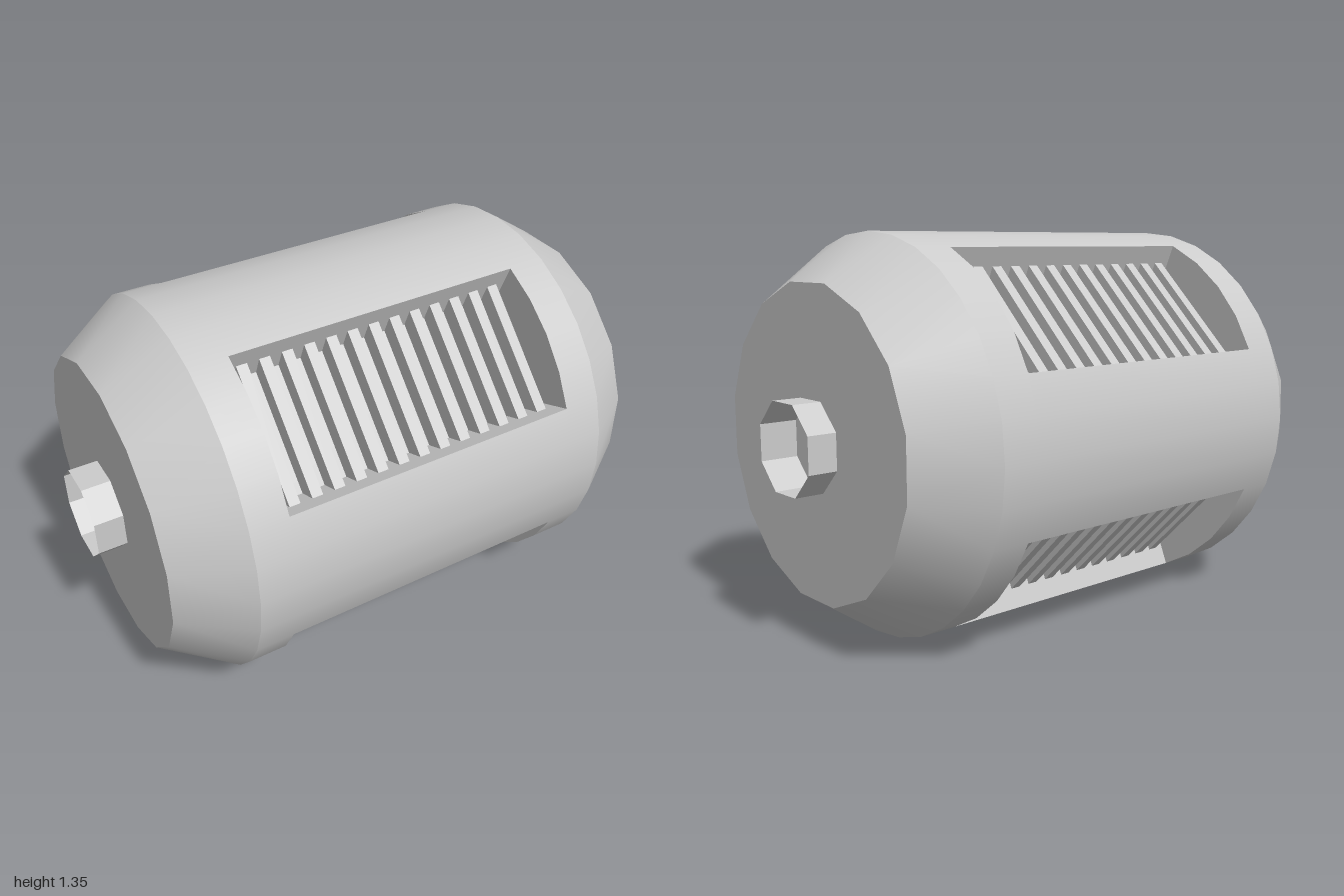
import * as THREE from 'three';

const R = 0.675, HALF = 0.9, SHOULDER = 0.67, WIN = 0.535;
const STEP = Math.PI / 16;
const smooth = new THREE.MeshStandardMaterial({ color: 0xcccccc });
const flat = new THREE.MeshStandardMaterial({ color: 0xcccccc, flatShading: true, side: THREE.DoubleSide });

function add(parent, name, geometry, material) {
  const mesh = new THREE.Mesh(geometry, material);
  mesh.name = name;
  parent.add(mesh);
  return mesh;
}

// Open cylinder wall lying along x, from x0 to x1
function wall(x0, x1, segments, start, length) {
  return new THREE.CylinderGeometry(R, R, x1 - x0, segments, 1, true, start, length)
    .rotateZ(-Math.PI / 2).translate((x0 + x1) / 2, 0, 0);
}

// Sloped shoulder joining the 32-sided shell to the 16-sided end plate
function shoulderGeometry() {
  const pos = [], index = [];
  const put = (x, r, a) => pos.push(x, r * Math.sin(a), r * Math.cos(a));
  for (let k = 0; k < 32; k++) put(SHOULDER, R, k * STEP);
  for (let j = 0; j < 16; j++) put(HALF, 0.525, (2 * j + 1) * STEP);
  for (let j = 0; j < 16; j++) {
    const a = 2 * j, b = a + 1, c = (a + 2) % 32, i = 32 + j, n = 32 + (j + 1) % 16;
    index.push(a, b, i, b, c, i, c, n, i);
  }
  // Wind every triangle so that it faces outward
  const p = k => new THREE.Vector3().fromArray(pos, k * 3);
  for (let t = 0; t < index.length; t += 3) {
    const [a, b, c] = [p(index[t]), p(index[t + 1]), p(index[t + 2])];
    const normal = b.clone().sub(a).cross(c.clone().sub(a));
    if (normal.dot(new THREE.Vector3(0, a.y + b.y + c.y, a.z + b.z + c.z)) < 0) {
      [index[t + 1], index[t + 2]] = [index[t + 2], index[t + 1]];
    }
  }
  const g = new THREE.BufferGeometry();
  g.setAttribute('position', new THREE.Float32BufferAttribute(pos, 3));
  g.setIndex(index);
  g.computeVertexNormals();
  return g;
}

// Point at radius r and angle a from the upright
const polar = (r, a) => new THREE.Vector2(r * Math.sin(a), r * Math.cos(a));
const polygon = (r, n) => Array.from({ length: n }, (_, i) => polar(r, (2 * i + 1) * Math.PI / n));

// Recessed window, 45 degrees wide, with a flat floor, radial sides and slats
function makeWindow() {
  const group = new THREE.Group();
  group.name = 'ventWindow';
  const A = 2 * STEP, floorR = 0.536, slatR = 0.606;

  const profile = [polar(R, -A), polar(floorR, -A), polar(floorR, A), polar(R, A)];
  const at = (q, x) => new THREE.Vector3(x, q.y, -q.x);
  const pts = [];
  for (let i = 0; i < 3; i++) {
    const a = at(profile[i], -WIN), b = at(profile[i + 1], -WIN);
    const c = at(profile[i + 1], WIN), d = at(profile[i], WIN);
    pts.push(a, c, b, a, d, c);
  }
  const trough = new THREE.BufferGeometry().setFromPoints(pts);
  trough.computeVertexNormals();
  add(group, 'windowTrough', trough, flat);

  // End walls: curved outer edge, straight inner edge
  const outline = [polar(floorR, A), polar(floorR, -A)];
  for (let k = -2; k <= 2; k++) outline.push(polar(R, k * STEP));
  const endWall = new THREE.ShapeGeometry(new THREE.Shape(outline)).rotateY(Math.PI / 2);
  for (const s of [-1, 1]) add(group, 'windowEnd', endWall, flat).position.x = s * WIN;

  const slatShape = new THREE.Shape([polar(floorR, -A), polar(floorR, A), polar(slatR, A), polar(slatR, -A)]);
  const slat = new THREE.ExtrudeGeometry(slatShape, { depth: 0.038, bevelEnabled: false })
    .translate(0, 0, -0.019).rotateY(Math.PI / 2);
  for (let i = -6; i <= 6; i++) add(group, 'slat', slat, flat).position.x = i * 0.0803;
  return group;
}

export function createModel() {
  const model = new THREE.Group();
  model.name = 'ventedDrum';
  const drum = new THREE.Group();
  drum.name = 'drum';
  drum.position.y = R;
  model.add(drum);

  // Shell strips between the windows, and the windows themselves
  for (let q = 0; q < 4; q++) {
    const mid = q * Math.PI / 2;
    add(drum, 'shellStrip', wall(-WIN, WIN, 4, mid - 2 * STEP, 4 * STEP), smooth);
    const win = makeWindow();
    win.rotation.x = mid + Math.PI / 4;
    drum.add(win);
  }

  // Both ends: full ring, shoulder, plate and recessed octagonal socket
  const shoulder = shoulderGeometry();
  const socketR = 0.159, depth = 0.13;
  const plateShape = new THREE.Shape(polygon(0.525, 16));
  plateShape.holes.push(new THREE.Path(polygon(socketR, 8)));
  const plate = new THREE.ShapeGeometry(plateShape).rotateY(Math.PI / 2);
  const floor = new THREE.ShapeGeometry(new THREE.Shape(polygon(socketR, 8))).rotateY(Math.PI / 2);
  const socket = new THREE.CylinderGeometry(socketR, socketR, depth, 8, 1, true, Math.PI / 8).rotateZ(-Math.PI / 2);
  for (const s of [-1, 1]) {
    const end = new THREE.Group();
    end.name = s > 0 ? 'leftEnd' : 'rightEnd';
    if (s < 0) end.rotation.y = Math.PI;
    drum.add(end);
    add(end, 'shellRing', wall(WIN, SHOULDER, 32, 0, Math.PI * 2), smooth);
    add(end, 'shoulder', shoulder, smooth);
    add(end, 'endPlate', plate, smooth).position.x = HALF;
    add(end, 'axleSocket', socket, flat).position.x = 1 - depth / 2;
    add(end, 'socketFloor', floor, smooth).position.x = 1 - depth;
  }
  return model;
}
